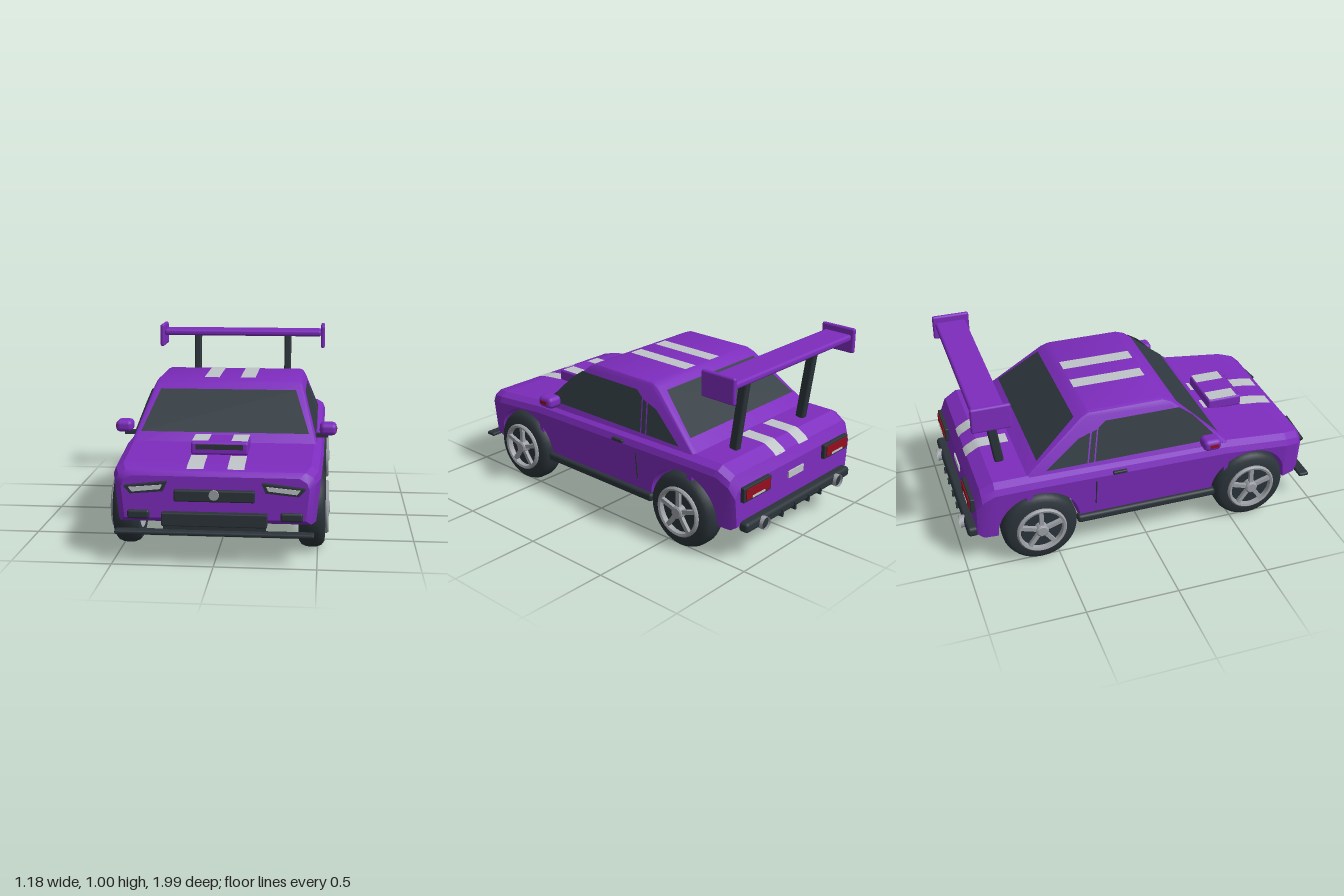
import * as THREE from 'three';
import { toCreasedNormals } from 'three/addons/utils/BufferGeometryUtils.js';
import { RoundedBoxGeometry } from 'three/addons/geometries/RoundedBoxGeometry.js';

const paint = (name, color) => new THREE.MeshStandardMaterial({ name, color, side: THREE.DoubleSide });
const M = {
  purple: paint('purplePaint', 0x7d2cbd),
  black: paint('blackTrim', 0x2b343a),
  glass: paint('darkGlass', 0x303a40),
  silver: paint('silverStripe', 0xbfc4c8),
  grey: paint('rimGrey', 0x9b9fa4),
  red: paint('redLamp', 0x960c1c),
};

// Lower body along its length: z, underside, top, half width
const BODY = [
  [0.93, 0.22, 0.43, 0.46], [0.9, 0.195, 0.452, 0.49], [0.82, 0.19, 0.468, 0.515], [0.45, 0.19, 0.505, 0.525],
  [-0.65, 0.19, 0.52, 0.525], [-0.83, 0.19, 0.52, 0.525], [-0.9, 0.19, 0.48, 0.515], [-0.93, 0.21, 0.42, 0.495],
];
const AXLES = [0.6, -0.6], WHEEL_Y = 0.205, ARCH = 0.223;

function bodyAt(z) {
  let i = 0;
  while (i < BODY.length - 2 && z < BODY[i + 1][0]) i++;
  const a = BODY[i], b = BODY[i + 1], t = (a[0] - z) / (a[0] - b[0]);
  return a.map((v, k) => v + (b[k] - v) * t);
}
const topY = z => bodyAt(z)[2];

// Loft with the wheel arches cut into the underside
function bodyGeometry() {
  const stations = BODY.map(r => [...r]);
  for (const az of AXLES) {
    for (const e of [1, -1]) stations.push(bodyAt(az + e * (ARCH + 0.0005)));
    for (let i = 0; i <= 20; i++) {
      const a = Math.PI * i / 20, s = bodyAt(az + ARCH * Math.cos(a));
      s[1] = WHEEL_Y + ARCH * Math.sin(a);
      stations.push(s);
    }
  }
  stations.sort((a, b) => b[0] - a[0]);
  const pos = [], idx = [], n = 8;
  for (const [z, B, T, W] of stations) {
    const sh = T - 0.055;
    const half = [[W - 0.1 * (sh - B), B], [W, sh], [W - 0.013, T - 0.022], [W - 0.05, T]];
    const ring = [...half, ...half.map(([x, y]) => [-x, y]).reverse()];
    for (const [x, y] of ring) pos.push(x, y, z);
  }
  for (let i = 0; i < stations.length - 1; i++) for (let j = 0; j < n; j++) {
    const a = i * n + j, b = i * n + (j + 1) % n, c = b + n, d = a + n;
    idx.push(a, d, c, a, c, b);
  }
  const last = (stations.length - 1) * n;
  for (let j = 1; j < n - 1; j++) idx.push(0, j, j + 1, last, last + j + 1, last + j);
  const g = new THREE.BufferGeometry();
  g.setAttribute('position', new THREE.Float32BufferAttribute(pos, 3));
  g.setIndex(idx);
  return toCreasedNormals(g, 0.45);
}

const cabinX = y => 0.482 - (y - 0.52) * 0.31;

// Cabin: bevelled side outline, narrowing towards the roof
function cabinGeometry() {
  const side = [[0.482, 0.49], [0.17, 0.77], [0.12, 0.79], [-0.29, 0.79], [-0.335, 0.772], [-0.688, 0.49]];
  const shape = new THREE.Shape(side.map(([z, y]) => new THREE.Vector2(-z, y)));
  const g = new THREE.ExtrudeGeometry(shape, {
    depth: 0.95, bevelEnabled: true, bevelThickness: 0.025, bevelSize: 0.02, bevelOffset: -0.02, bevelSegments: 2,
  });
  g.translate(0, 0, -0.475).rotateY(Math.PI / 2);
  const p = g.attributes.position;
  for (let i = 0; i < p.count; i++) p.setX(i, p.getX(i) * 2 * cabinX(p.getY(i)));
  return toCreasedNormals(g, 0.5);
}

export function createModel() {
  const car = new THREE.Group();
  car.name = 'sportsCar';
  const add = (name, geo, mat, x = 0, y = 0, z = 0, parent = car) => {
    const m = new THREE.Mesh(geo, mat);
    m.name = name;
    m.position.set(x, y, z);
    parent.add(m);
    return m;
  };
  const box = (name, mat, w, h, d, x, y, z, r = 0) =>
    add(name, r ? new RoundedBoxGeometry(w, h, d, 2, r) : new THREE.BoxGeometry(w, h, d), mat, x, y, z);
  // Thin face: flat outline placed in space by a rule
  const plate = (name, mat, pts, place) => {
    const g = new THREE.ShapeGeometry(new THREE.Shape(pts.map(p => new THREE.Vector2(...p))));
    const p = g.attributes.position;
    for (let i = 0; i < p.count; i++) p.setXYZ(i, ...place(p.getX(i), p.getY(i)));
    g.computeVertexNormals();
    return add(name, g, mat);
  };
  const slab = (name, mat, pts, depth, z) => add(name, new THREE.ExtrudeGeometry(
    new THREE.Shape(pts.map(p => new THREE.Vector2(...p))), { depth, bevelEnabled: false }), mat, 0, 0, z);
  // Stripe that follows a height rule
  const stripe = (name, x, z0, z1, height) => {
    const g = new THREE.PlaneGeometry(0.083, z0 - z1, 1, 14).rotateX(-Math.PI / 2).translate(x, 0, (z0 + z1) / 2);
    const p = g.attributes.position;
    for (let i = 0; i < p.count; i++) p.setY(i, height(p.getZ(i)) + 0.005);
    g.computeVertexNormals();
    add(name, g, M.silver);
  };

  add('body', bodyGeometry(), M.purple);
  add('cabin', cabinGeometry(), M.purple);

  // Windscreen and rear window
  plate('windscreen', M.glass, [[-0.445, 0.547], [0.445, 0.547], [0.368, 0.743], [-0.368, 0.743]],
    (x, y) => [x, y, 0.46 - (y - 0.51) * 1.114 + 0.006]);
  plate('rearWindow', M.glass, [[-0.435, 0.575], [0.435, 0.575], [0.362, 0.755], [-0.362, 0.755]],
    (x, y) => [x, y, -0.65 + (y - 0.52) * 1.252 - 0.006]);

  // Hood scoop
  box('hoodScoop', M.purple, 0.29, 0.065, 0.2, 0, 0.518, 0.597, 0.012);
  box('scoopOpening', M.black, 0.24, 0.026, 0.01, 0, 0.527, 0.695);

  // Nose
  box('frontSplitter', M.black, 0.97, 0.02, 0.058, 0, 0.16, 0.966, 0.008);
  box('splitterMount', M.black, 0.5, 0.04, 0.03, 0, 0.18, 0.94);
  box('upperGrille', M.black, 0.395, 0.058, 0.04, 0, 0.338, 0.935, 0.008);
  box('lowerGrille', M.black, 0.515, 0.066, 0.06, 0, 0.222, 0.938, 0.006);
  add('noseDisc', new THREE.CylinderGeometry(0.025, 0.025, 0.012, 20).rotateX(Math.PI / 2), M.grey, 0, 0.346, 0.957);

  // Tail
  box('rearBumper', M.black, 0.91, 0.055, 0.06, 0, 0.205, -0.948, 0.018);
  for (const x of [-0.17, -0.06, 0.06, 0.17]) box('diffuserFin', M.black, 0.01, 0.04, 0.05, x, 0.19, -0.962);
  box('rearPlate', M.silver, 0.13, 0.038, 0.008, 0, 0.352, -0.934);

  // Wing
  box('wingBoard', M.purple, 0.99, 0.038, 0.17, 0, 0.948, -0.825, 0.015);

  for (const s of [1, -1]) {
    // Racing stripes
    const x = s * 0.1;
    stripe('noseStripe', x, 0.89, 0.7, topY);
    stripe('scoopStripe', x, 0.67, 0.505, () => 0.549);
    stripe('hoodStripe', x, 0.492, 0.472, topY);
    stripe('roofStripe', x, 0.108, -0.295, () => 0.788);
    stripe('trunkStripe', x, -0.668, -0.905, topY);

    // Side glass
    const onSide = (z, y) => [s * (cabinX(y) + 0.005), y, z];
    plate('doorWindow', M.glass, [[0.415, 0.533], [0.275, 0.685], [0.205, 0.735], [-0.205, 0.735], [-0.248, 0.705], [-0.283, 0.533]], onSide);
    plate('doorPillar', M.glass, [[-0.291, 0.533], [-0.257, 0.698], [-0.285, 0.69], [-0.319, 0.533]], onSide);
    plate('quarterWindow', M.glass, [[-0.327, 0.533], [-0.295, 0.688], [-0.36, 0.668], [-0.55, 0.533]], onSide);

    // Doors and sills
    box('doorHandle', M.black, 0.02, 0.018, 0.078, s * 0.525, 0.47, -0.16, 0.006);
    box('doorSeam', M.black, 0.006, 0.15, 0.005, s * 0.518, 0.36, -0.29).rotation.z = -s * 0.1;
    box('sill', M.black, 0.05, 0.045, 0.79, s * 0.5, 0.202, 0, 0.015);

    // Mirrors
    box('mirrorArm', M.black, 0.09, 0.02, 0.035, s * 0.5, 0.527, 0.345);
    box('mirror', M.purple, 0.09, 0.064, 0.1, s * 0.545, 0.562, 0.34, 0.024);
    box('mirrorLamp', M.red, 0.006, 0.018, 0.05, s * 0.589, 0.562, 0.345);

    // Headlights and fog lamps
    slab('headlightHousing', M.black, [[0.23, 0.408], [0.25, 0.361], [0.41, 0.347], [0.442, 0.384]].map(([a, b]) => [s * a, b]), 0.045, 0.915);
    slab('headlight', M.silver, [[0.252, 0.395], [0.262, 0.373], [0.4, 0.358], [0.418, 0.38]].map(([a, b]) => [s * a, b]), 0.006, 0.958);
    box('fogLamp', M.black, 0.11, 0.045, 0.05, s * 0.375, 0.237, 0.918, 0.012);

    // Tail lights and exhausts
    box('tailLightHousing', M.black, 0.22, 0.08, 0.045, s * 0.345, 0.38, -0.93, 0.005);
    box('tailLight', M.red, 0.19, 0.054, 0.008, s * 0.345, 0.382, -0.954);
    box('reverseLight', M.silver, 0.1, 0.012, 0.008, s * 0.345, 0.36, -0.956);
    add('exhaust', new THREE.CylinderGeometry(0.034, 0.034, 0.07, 20, 1, true).rotateX(Math.PI / 2), M.grey, s * 0.325, 0.197, -0.963);
    add('exhaustInside', new THREE.CylinderGeometry(0.032, 0.032, 0.01, 20).rotateX(Math.PI / 2), M.black, s * 0.325, 0.197, -0.98);

    // Wing struts and end plates
    box('wingStrut', M.black, 0.042, 0.43, 0.05, s * 0.285, 0.73, -0.783, 0.01).rotation.x = -0.14;
    box('wingEndPlate', M.purple, 0.025, 0.138, 0.205, s * 0.505, 0.93, -0.82, 0.011);

    // Wheels
    for (const z of AXLES) {
      const wheel = new THREE.Group();
      wheel.name = 'wheel';
      wheel.position.set(s * 0.47, WHEEL_Y, z);
      wheel.rotation.y = s > 0 ? 0 : Math.PI;
      car.add(wheel);
      const turn = (name, pts, mat) => add(name, toCreasedNormals(new THREE.LatheGeometry(
        pts.map(p => new THREE.Vector2(...p)), 36).rotateZ(-Math.PI / 2), 0.6), mat, 0, 0, 0, wheel);
      turn('tire', [[0.13, -0.065], [0.175, -0.065], [0.195, -0.05], [0.205, -0.025], [0.205, 0.025], [0.195, 0.05], [0.175, 0.065], [0.13, 0.068]], M.black);
      turn('rimBarrel', [[0.129, -0.065], [0.129, 0.06]], M.grey);
      turn('rimRing', [[0.136, 0.06], [0.136, 0.076], [0.128, 0.084], [0.116, 0.08], [0.114, 0.055]], M.grey);
      turn('rimBacking', [[0.128, 0.04], [0, 0.04]], M.black);
      turn('hub', [[0.034, 0.045], [0.034, 0.084], [0.026, 0.09], [0, 0.09]], M.grey);
      for (let i = 0; i < 5; i++) {
        const a = i * Math.PI * 2 / 5;
        const spoke = add('spoke', new THREE.BoxGeometry(0.02, 0.1, 0.022).translate(0, 0.07, 0), M.grey, 0.068, 0, 0, wheel);
        spoke.rotation.x = a;
      }
    }
  }
  return car;
}
